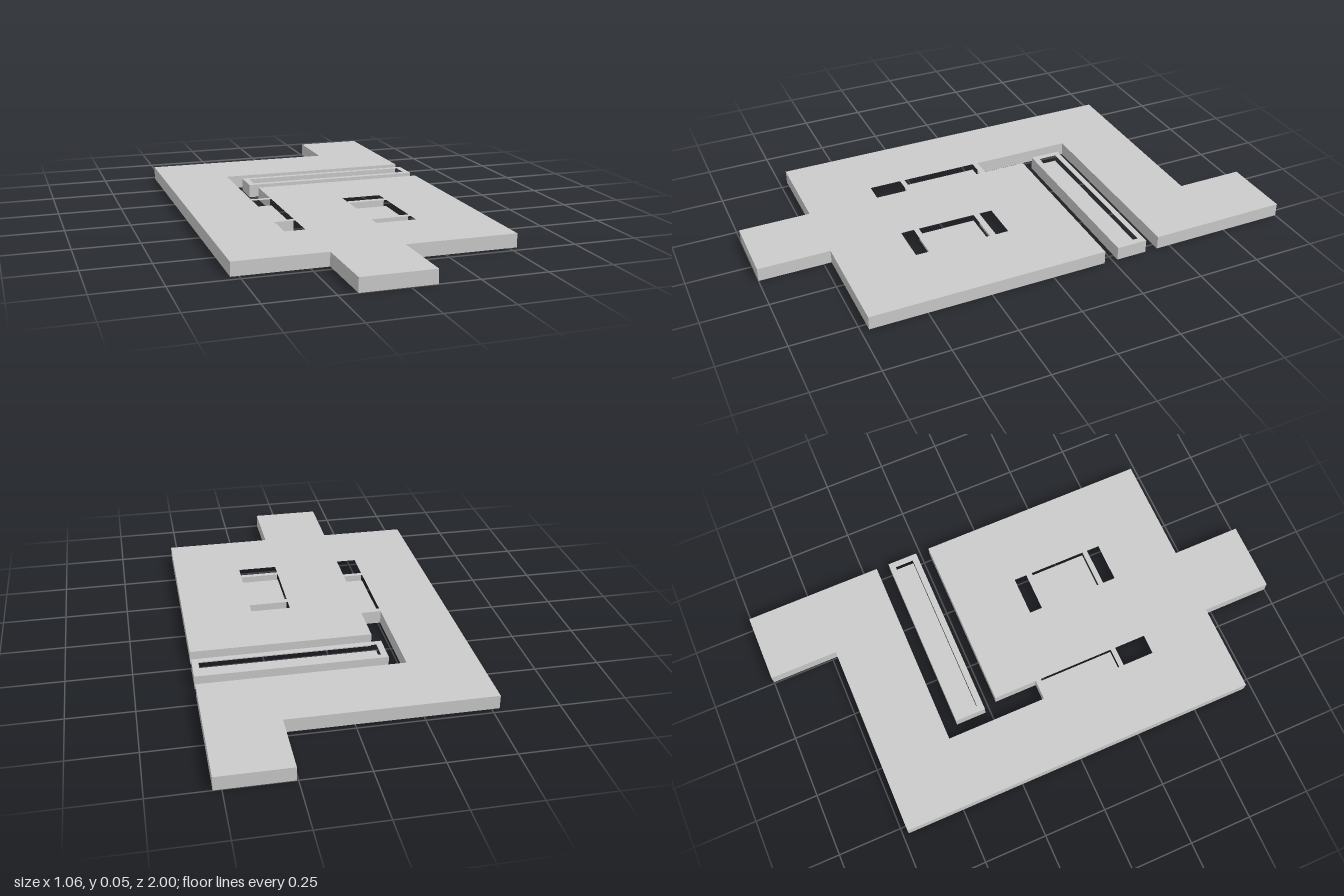
import * as THREE from 'three';

const HEIGHT = 0.053;   // full plate thickness
const FLOOR = 0.027;    // thickness left under each recess

const material = new THREE.MeshStandardMaterial({ color: 0xcccccc, flatShading: true });

// Rectangles are [x0, x1, z0, z1] on the ground plane.
const corners = ([x0, x1, z0, z1]) => [[x0, z0], [x1, z0], [x1, z1], [x0, z1]];
const toPoints = (list) => list.map(([x, z]) => new THREE.Vector2(x, -z));

// Upright slab from a ground outline, cut through by rectangles.
function slab(name, outline, cuts) {
  const shape = new THREE.Shape(toPoints(outline));
  cuts.forEach((cut) => shape.holes.push(new THREE.Path(toPoints(corners(cut)))));
  const geometry = new THREE.ExtrudeGeometry(shape, { depth: HEIGHT, bevelEnabled: false });
  geometry.rotateX(-Math.PI / 2);
  const mesh = new THREE.Mesh(geometry, material);
  mesh.name = name;
  return mesh;
}

// Thin floor that closes the bottom of a recess.
function recessFloor(name, [x0, x1, z0, z1]) {
  const mesh = new THREE.Mesh(new THREE.BoxGeometry(x1 - x0, FLOOR, z1 - z0), material);
  mesh.position.set((x0 + x1) / 2, FLOOR / 2, (z0 + z1) / 2);
  mesh.name = name;
  return mesh;
}

export function createModel() {
  const model = new THREE.Group();
  model.name = 'recessedPlate';

  // Main plate: front tab, offset rear tab and a channel open on the left
  const outline = [
    [0.255, -1], [0.53, -1], [0.53, -0.445], [-0.26, -0.445],
    [-0.26, -0.04], [-0.18, -0.04], [-0.18, -0.215], [0.53, -0.215],
    [0.53, 0.72], [0.097, 0.72], [0.097, 1], [-0.18, 1],
    [-0.18, 0.72], [-0.53, 0.72], [-0.53, -0.727], [0.255, -0.727],
  ];
  const through = [
    [-0.26, -0.18, 0.31, 0.438],
    [0.097, 0.255, 0.058, 0.11],
    [0.097, 0.255, 0.386, 0.438],
  ];
  const sideRecess = [-0.26, -0.18, -0.017, 0.29];
  const middleRecess = [0.097, 0.255, 0.135, 0.365];
  model.add(slab('mainPlate', outline, [...through, sideRecess, middleRecess]));
  model.add(recessFloor('sideRecessFloor', sideRecess));
  model.add(recessFloor('middleRecessFloor', middleRecess));

  // Loose bar lying in the channel, hollowed from above
  const barRecess = [-0.18, 0.505, -0.37, -0.295];
  model.add(slab('channelBar', corners([-0.205, 0.53, -0.393, -0.27]), [barRecess]));
  model.add(recessFloor('barRecessFloor', barRecess));

  return model;
}
